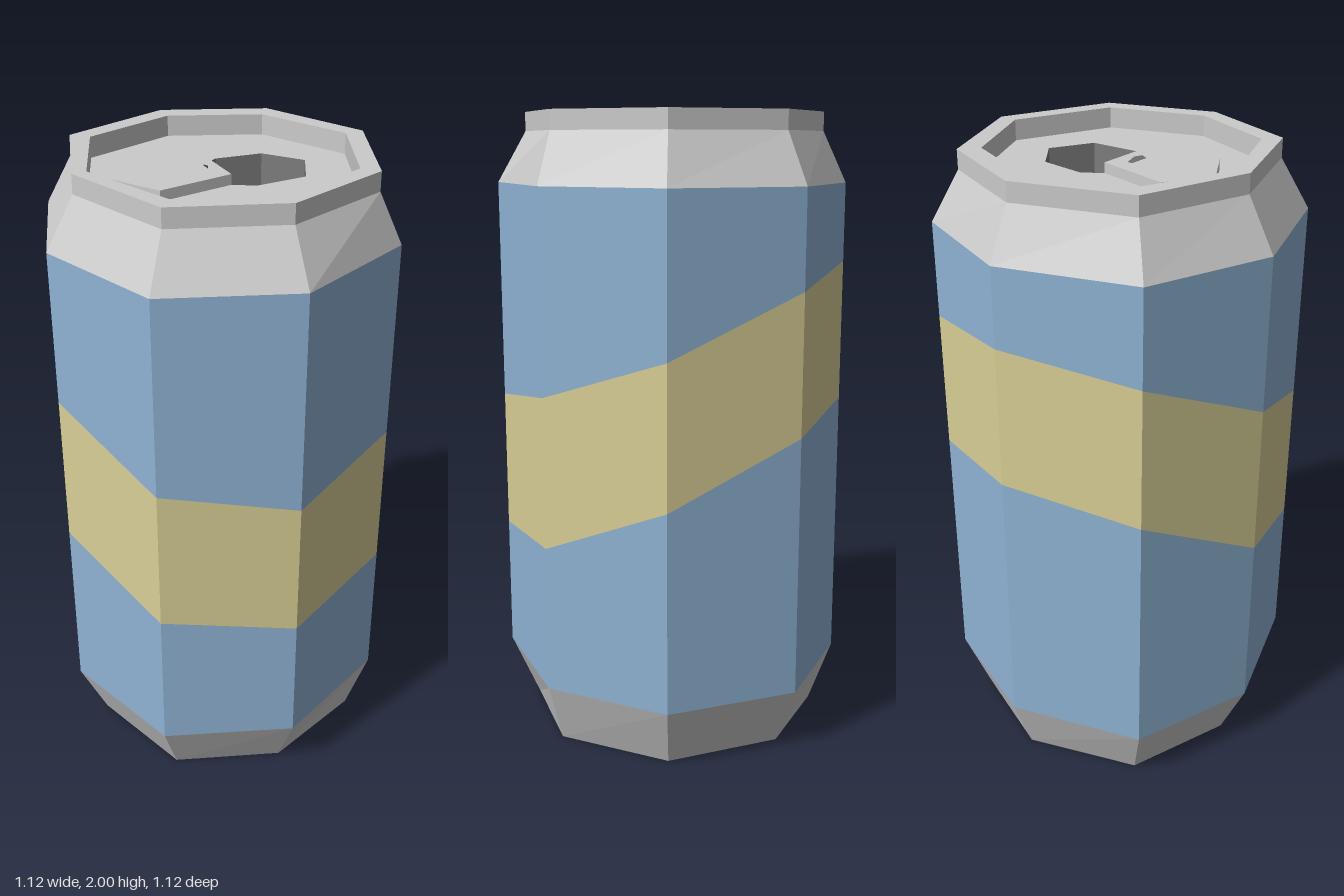
import * as THREE from 'three';

const material = (color) => new THREE.MeshStandardMaterial({ color, flatShading: true });
const metal = material(0xcccccc);
const blue = material(0x8fb3d3);
const yellow = material(0xd9cf96);
const dark = material(0x7a7a7a);

// Eight-sided outlines as [x, z], from the back corner round by the left side
const BODY = [[0, -0.56], [0.39, -0.41], [0.56, -0.01], [0.39, 0.375], [-0.015, 0.56], [-0.415, 0.41], [-0.56, -0.01], [-0.42, -0.415]];
const RIM = [[0, -0.485], [0.32, -0.355], [0.475, -0.01], [0.325, 0.343], [-0.015, 0.467], [-0.348, 0.345], [-0.47, -0.01], [-0.355, -0.355]];
const INNER = [[-0.005, -0.415], [0.275, -0.3], [0.415, -0.01], [0.282, 0.298], [-0.015, 0.405], [-0.305, 0.295], [-0.425, -0.01], [-0.305, -0.31]];
// Heights of the slanted stripe at each body corner
const STRIPE_LOW = [1.08, 1.03, 0.84, 0.67, 0.63, 0.68, 0.8, 1.02];
const STRIPE_HIGH = [1.53, 1.475, 1.29, 1.15, 1.08, 1.15, 1.29, 1.475];
// Mouth opening and pull tab outlines
const MOUTH = [[-0.025, -0.1], [0.035, -0.14], [0.185, -0.125], [0.275, -0.01], [0.205, 0.125], [0.04, 0.135], [-0.025, 0.097]];
const TAB = [[-0.268, -0.148], [-0.025, -0.1], [-0.025, 0.097], [-0.265, 0.138], [-0.352, -0.005]];
const FINGER_HOLE = [[-0.2, -0.072], [-0.075, -0.055], [-0.055, 0], [-0.075, 0.05], [-0.2, 0.07], [-0.27, -0.005]];

const LID_Y = 1.935;

// Outline placed at a height (one number, or one per corner)
const ring = (outline, y) => outline.map(([x, z], i) => [x, Array.isArray(y) ? y[i] : y, z]);
const point = (n, x, y, z) => Array.from({ length: n }, () => [x, y, z]);
const scaled = (outline, s, cx = 0, cz = 0) => outline.map(([x, z]) => [cx + (x - cx) * s, cz + (z - cz) * s]);

// Flat-faceted skin through a series of rings
function loft(rings) {
  const positions = [];
  const same = (p, q) => p.every((v, i) => v === q[i]);
  const triangle = (a, b, c) => {
    if (!same(a, b) && !same(b, c) && !same(a, c)) positions.push(...a, ...b, ...c);
  };
  for (let r = 0; r < rings.length - 1; r++) {
    const low = rings[r], high = rings[r + 1];
    for (let i = 0; i < low.length; i++) {
      const j = (i + 1) % low.length;
      triangle(low[i], high[i], low[j]);
      triangle(low[j], high[i], high[j]);
    }
  }
  const geometry = new THREE.BufferGeometry();
  geometry.setAttribute('position', new THREE.Float32BufferAttribute(positions, 3));
  geometry.computeVertexNormals();
  return geometry;
}

// Horizontal shape with one hole, to be turned face up
function holedShape(outline, hole) {
  const flat = (points) => points.map(([x, z]) => new THREE.Vector2(x, -z));
  const shape = new THREE.Shape(flat(outline));
  shape.holes.push(new THREE.Path(flat(hole)));
  return shape;
}

export function createModel() {
  const can = new THREE.Group();
  can.name = 'can';
  const add = (name, geometry, mat, y = 0) => {
    const mesh = new THREE.Mesh(geometry, mat);
    mesh.name = name;
    mesh.position.y = y;
    can.add(mesh);
  };

  // Base: hollow underside, foot and bevel
  add('base', loft([
    point(8, -0.005, 0.1, -0.005), ring(scaled(RIM, 0.76), 0), ring(RIM, 0), ring(BODY, 0.2),
  ]), metal);

  // Painted wall with a slanted stripe
  add('lowerWall', loft([ring(BODY, 0.2), ring(BODY, STRIPE_LOW)]), blue);
  add('stripe', loft([ring(BODY, STRIPE_LOW), ring(BODY, STRIPE_HIGH)]), yellow);
  add('upperWall', loft([ring(BODY, STRIPE_HIGH), ring(BODY, 1.78)]), blue);

  // Neck, rim and the rim's inner wall
  add('neckAndRim', loft([
    ring(BODY, 1.78), ring(RIM, 1.94), ring(RIM, 2), ring(INNER, 2), ring(INNER, LID_Y),
  ]), metal);

  // Sunken lid with the mouth cut out
  add('lid', new THREE.ShapeGeometry(holedShape(INNER, MOUTH)).rotateX(-Math.PI / 2), metal, LID_Y);
  add('mouth', loft([
    ring(MOUTH, LID_Y), ring(scaled(MOUTH, 0.97, 0.11, 0), LID_Y - 0.12), point(7, 0.11, LID_Y - 0.12, 0),
  ]), dark);

  // Pull tab with its finger hole
  const tab = new THREE.ExtrudeGeometry(holedShape(TAB, FINGER_HOLE), { depth: 0.032, bevelEnabled: false });
  add('pullTab', tab.rotateX(-Math.PI / 2), metal, LID_Y);

  return can;
}
